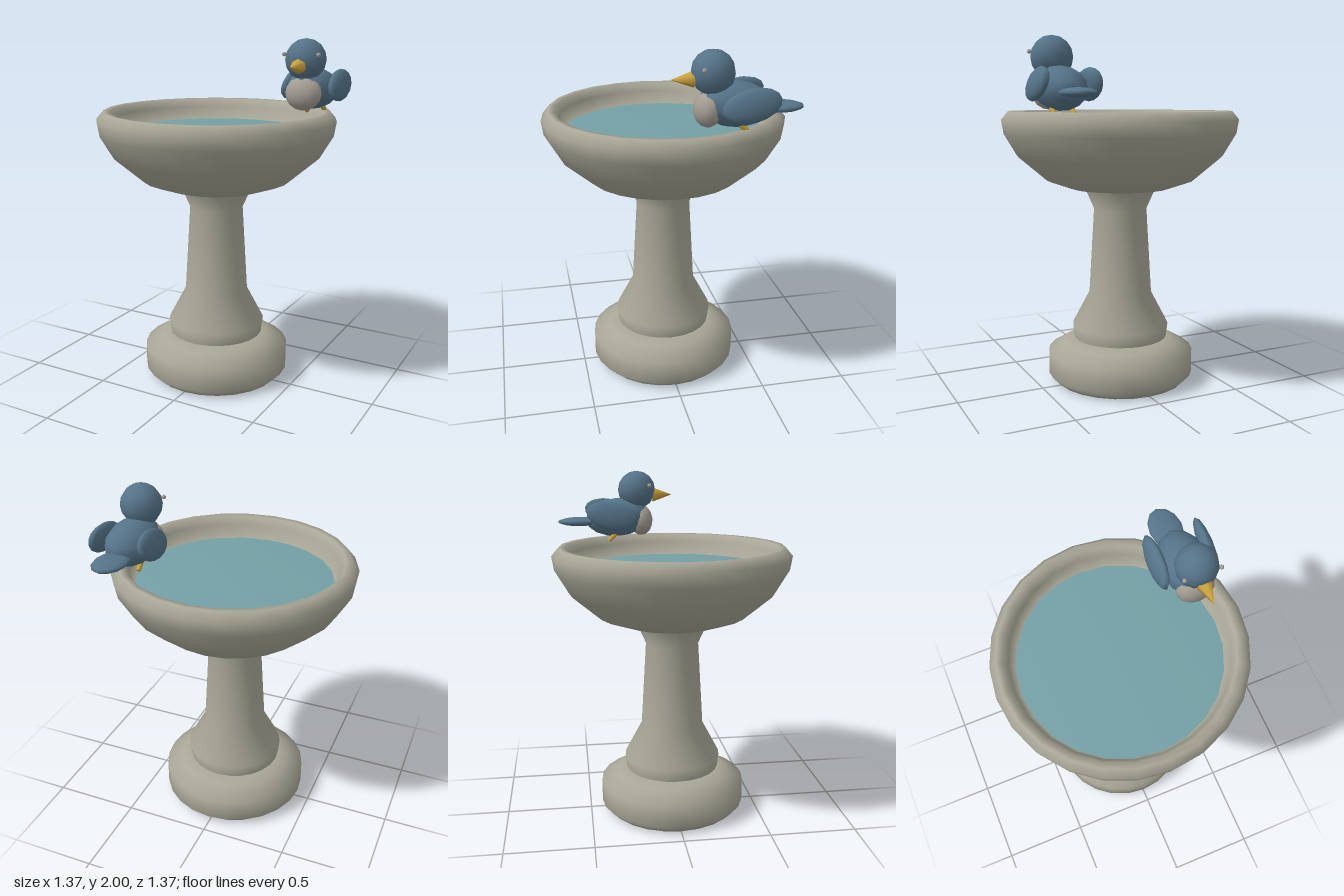
import * as THREE from 'three';

const mat = (name, color) => Object.assign(new THREE.MeshStandardMaterial({ color }), { name });

export function createModel() {
  const stone = mat('stone', 0xa9a797);
  const water = mat('water', 0x74a0a6);
  const blue = mat('blue feathers', 0x557388);
  const pale = mat('pale feathers', 0xa39d93);
  const gold = mat('gold', 0xcba23e);

  const model = new THREE.Group();
  model.name = 'birdBath';

  const add = (parent, name, geometry, material, position = [0, 0, 0], rotation = [0, 0, 0]) => {
    const mesh = new THREE.Mesh(geometry, material);
    mesh.name = name;
    mesh.position.set(...position);
    mesh.rotation.set(...rotation);
    parent.add(mesh);
    return mesh;
  };
  const lathe = (points) =>
    new THREE.LatheGeometry(points.map(([r, y]) => new THREE.Vector2(r, y)), 24);

  // Stone parts, turned from the bottom up
  add(model, 'base', lathe([
    [0, 0], [0.385, 0], [0.43, 0.045], [0.43, 0.18], [0.335, 0.235], [0.275, 0.26], [0, 0.26],
  ]), stone);
  add(model, 'column', lathe([
    [0.275, 0.255], [0.285, 0.335], [0.185, 0.525], [0.155, 1.03], [0.21, 1.155],
  ]), stone);
  add(model, 'bowl', lathe([
    [0, 1.15], [0.285, 1.15], [0.43, 1.2], [0.595, 1.34], [0.672, 1.47], [0.685, 1.55],
    [0.645, 1.598], [0.61, 1.595], [0.585, 1.55], [0.55, 1.45], [0, 1.4],
  ]), stone);

  // Water with a softly rounded rim
  add(model, 'water', lathe([[0.556, 1.445], [0.556, 1.474], [0, 1.474]]), water);

  // Bird perched on the rim
  const bird = new THREE.Group();
  bird.name = 'bird';
  bird.position.x = 0.477;
  model.add(bird);

  const blob = (name, material, size, position, rotation) => {
    const mesh = add(bird, name, new THREE.SphereGeometry(1, 12, 8), material, position, rotation);
    mesh.scale.set(...size);
    return mesh;
  };
  blob('body', blue, [0.135, 0.117, 0.2], [0, 1.72, -0.272], [-0.08, 0, 0]);
  blob('head', blue, [0.115, 0.115, 0.115], [0, 1.885, -0.155]);
  blob('breast', pale, [0.108, 0.095, 0.075], [0, 1.702, -0.132], [-0.1, 0, 0]);
  blob('tail', blue, [0.092, 0.027, 0.13], [0, 1.695, -0.512]);

  // Beak points forward
  add(bird, 'beak', new THREE.ConeGeometry(0.044, 0.12, 6), gold, [0, 1.855, 0.003], [Math.PI / 2, 0, 0]);

  // Mirrored parts
  for (const [side, s] of [['left', 1], ['right', -1]]) {
    blob(side + 'Wing', blue, [0.037, 0.085, 0.155], [s * 0.143, 1.74, -0.32], [0.2, 0, s * 0.2]);
    blob(side + 'Eye', pale, [0.012, 0.012, 0.012], [s * 0.1, 1.915, -0.085]);
    add(bird, side + 'Foot', new THREE.CylinderGeometry(0.014, 0.014, 0.06, 6), gold,
      [s * 0.055, 1.602, -0.312], [0.8, 0, 0]);
  }
  return model;
}
